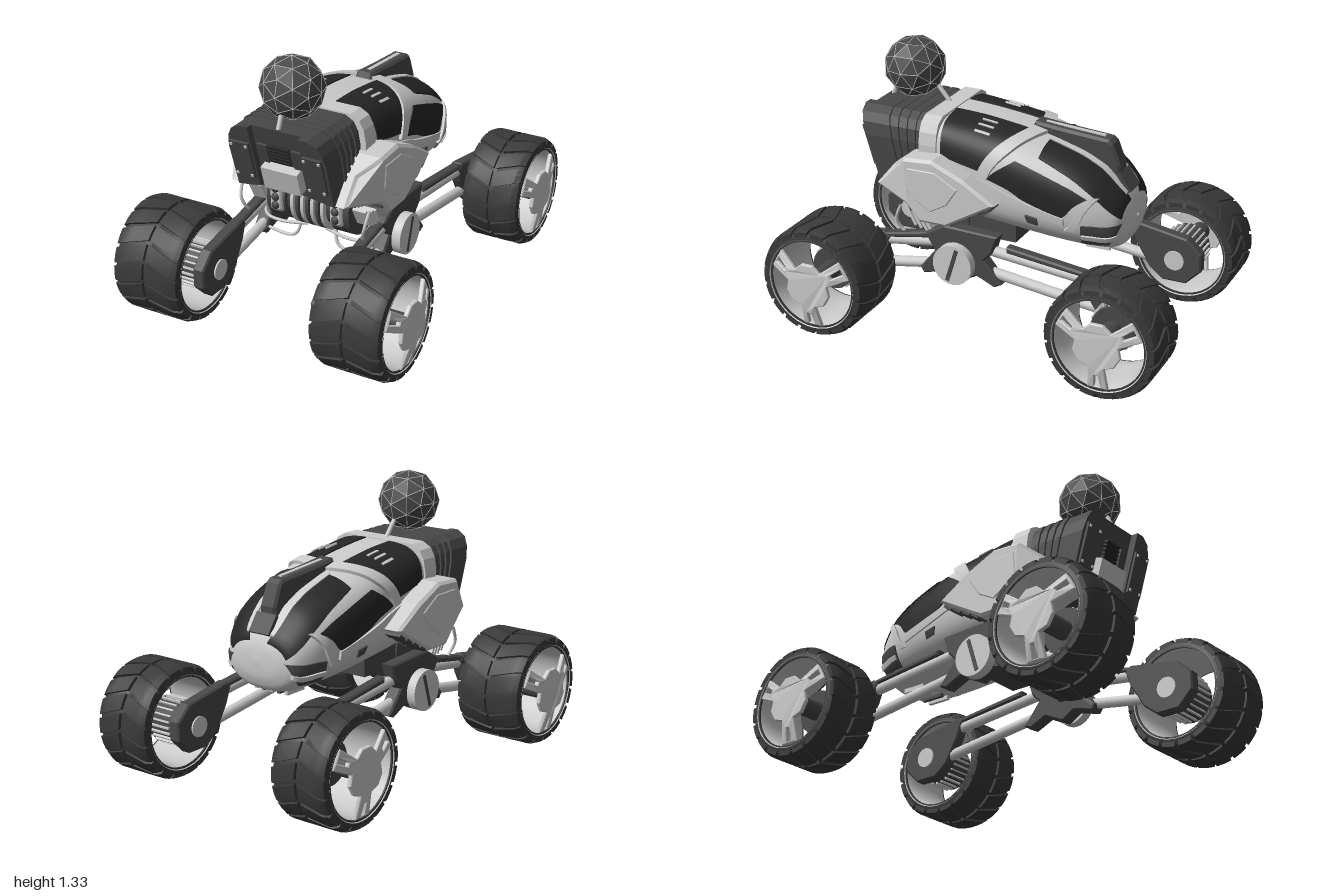
import * as THREE from 'three';
import { mergeGeometries, toCreasedNormals } from 'three/addons/utils/BufferGeometryUtils.js';

const mat = (c, o = {}) => new THREE.MeshStandardMaterial({ color: c, ...o });
const GREY = mat(0xcccccc, { side: THREE.DoubleSide });
const DARK = mat(0x484848, { side: THREE.DoubleSide });
const BLACK = mat(0x262626, { side: THREE.DoubleSide });
const TYRE = mat(0x3a3a3a);
const V = (x, y, z) => new THREE.Vector3(x, y, z);

function add(parent, name, geo, m, x = 0, y = 0, z = 0) {
  const mesh = new THREE.Mesh(geo, m);
  mesh.name = name;
  mesh.position.set(x, y, z);
  parent.add(mesh);
  return mesh;
}
const box = (w, h, d) => new THREE.BoxGeometry(w, h, d);
const disc = (r, w, n = 28) => new THREE.CylinderGeometry(r, r, w, n).rotateZ(-Math.PI / 2);
const shapeOf = pts => new THREE.Shape(pts.map(p => new THREE.Vector2(p[0], p[1])));

// round bar between two points
function rod(a, b, r, n = 12) {
  const d = b.clone().sub(a), g = new THREE.CylinderGeometry(r, r, d.length(), n);
  g.applyQuaternion(new THREE.Quaternion().setFromUnitVectors(V(0, 1, 0), d.normalize()));
  const m = a.clone().add(b).multiplyScalar(0.5);
  return g.translate(m.x, m.y, m.z);
}
// side profile [z, y] extruded across x, centred on x = 0
function slab(shape, width, bevel = 0.008) {
  const s = Array.isArray(shape) ? shapeOf(shape) : shape;
  return new THREE.ExtrudeGeometry(s, { depth: width - 2 * bevel, bevelThickness: bevel, bevelSize: bevel,
    bevelOffset: -bevel, bevelSegments: 1, curveSegments: 10 }).translate(0, 0, bevel - width / 2).rotateY(-Math.PI / 2);
}

// hull cross-sections: z, half width, bottom, top, squareness
const HULL = [[0.36, .265, .62, 1.015, 4], [0.28, .275, .57, 1.02, 3.8], [0.1, .285, .53, 1.01, 3.2], [-0.1, .29, .505, .985, 2.9],
  [-0.25, .285, .485, .95, 2.7], [-0.4, .272, .47, .905, 2.5], [-0.5, .25, .465, .855, 2.4], [-0.58, .21, .475, .775, 2.4],
  [-0.625, .14, .53, .705, 2.2], [-0.638, .005, .61, .63, 2]];
const curveA = new THREE.CatmullRomCurve3(HULL.map(s => V(s[0], s[1], s[4])));
const curveB = new THREE.CatmullRomCurve3(HULL.map(s => V(s[2], s[3], 0)));
function section(t) {
  const a = curveA.getPoint(t), b = curveB.getPoint(t);
  return { z: a.x, w: Math.max(a.y, 0.002), e: a.z, mid: (b.x + b.y) / 2, h: (b.y - b.x) / 2 };
}
function tOf(z) {
  let i = 0;
  while (i < HULL.length - 2 && z < HULL[i + 1][0]) i++;
  return (i + (HULL[i][0] - z) / (HULL[i][0] - HULL[i + 1][0])) / (HULL.length - 1);
}
function hullPoint(t, a, off) {
  const s = section(t), c = Math.cos(a), n = Math.sin(a);
  return V(Math.sign(c) * Math.pow(Math.abs(c), 2 / s.e) * (s.w + off), s.mid + Math.sign(n) * Math.pow(Math.abs(n), 2 / s.e) * (s.h + off), s.z);
}
// hull coordinates of a point given by height or by distance from the middle
function atY(z, y) {
  const t = tOf(z), s = section(t), k = Math.max(-1, Math.min(1, (y - s.mid) / s.h));
  return [t, Math.asin(Math.sign(k) * Math.pow(Math.abs(k), s.e / 2))];
}
function atX(z, x) {
  const t = tOf(z), s = section(t);
  return [t, Math.acos(Math.pow(Math.min(1, x / s.w), s.e / 2))];
}
function grid(n, m, fn) {
  const pos = [], idx = [];
  for (let i = 0; i <= n; i++) for (let j = 0; j <= m; j++) pos.push(...fn(i, j).toArray());
  for (let i = 0; i < n; i++) for (let j = 0; j < m; j++) {
    const a = i * (m + 1) + j, b = a + m + 1;
    idx.push(a, a + 1, b, b, a + 1, b + 1);
  }
  const g = new THREE.BufferGeometry();
  g.setAttribute('position', new THREE.Float32BufferAttribute(pos, 3));
  g.setIndex(idx);
  g.computeVertexNormals();
  return g;
}
// raised panel following the hull between four corners
function panel(s, [p, q, r, o], off) {
  const n = 12, mix = (k, u, v) => (p[k] * (1 - u) + q[k] * u) * (1 - v) + (o[k] * (1 - u) + r[k] * u) * v;
  const clamp = i => Math.max(0, Math.min(1, (i - 1) / n));
  return toCreasedNormals(grid(n + 2, n + 2, (i, j) => {
    const edge = i === 0 || j === 0 || i === n + 2 || j === n + 2;
    const v = hullPoint(mix(0, clamp(i), clamp(j)), mix(1, clamp(i), clamp(j)), edge ? -0.004 : off);
    v.x *= s;
    return v;
  }), 0.6);
}

// wheel with its outer side towards +x; h is the half width, dish the bulge of the spokes
function wheel(h, dish, sweep) {
  const g = new THREE.Group();
  const lathe = pts => new THREE.LatheGeometry(pts.map(p => new THREE.Vector2(p[0], p[1])), 48).rotateZ(-Math.PI / 2);
  const half = [[.257, .006], [.263, .016], [.264, h * .8], [.252, h * .95], [.235, h], [.216, h]];
  const back = half.map(p => [p[0], -p[1]]).reverse();
  add(g, 'tyre', toCreasedNormals(lathe([...back, ...half, back[0]]), 0.6), TYRE);
  const lugs = [], L = h - 0.01;
  for (let k = 0; k < 18; k++) for (const side of [-1, 1]) {
    const b = new THREE.BoxGeometry(L, 1, 1, 5, 1, 2), p = b.attributes.position;
    for (let i = 0; i < p.count; i++) {
      const x = p.getX(i) + side * (L / 2 + 0.008), f = Math.abs(x) / h;
      const r = (p.getY(i) > 0 ? 0.275 : 0.245) - 0.014 * Math.max(0, f - 0.8) / 0.2;
      const a = k * Math.PI / 9 + sweep * f * 0.2 + p.getZ(i) * 0.28;
      p.setXYZ(i, x, r * Math.cos(a), r * Math.sin(a));
    }
    lugs.push(b);
  }
  add(g, 'treadLugs', toCreasedNormals(mergeGeometries(lugs), 0.5), TYRE);
  add(g, 'rim', lathe([[.228, -h - .004], [.214, -h + .01], [.208, -h * .5], [.208, h * .5], [.214, h - .01], [.228, h + .004]]), GREY);
  // three dished spokes, each with a slot
  const star = [], arm = [[.118, -.8], [.105, -.36], [.216, -.23], [.216, .23], [.105, .36], [.118, .8]];
  const spokes = new THREE.Shape(), polar = (r, a) => new THREE.Vector2(r * Math.cos(a), r * Math.sin(a));
  for (let k = 0; k < 3; k++) {
    const a = -Math.PI / 2 + k * Math.PI * 2 / 3;
    arm.forEach(p => star.push(polar(p[0], a + p[1])));
    spokes.holes.push(new THREE.Path([[.14, -.06], [.2, -.07], [.2, .07], [.14, .06]].map(p => polar(p[0], a + p[1]))));
  }
  spokes.setFromPoints(star);
  const sg = slab(spokes, 0.022, 0.004), sp = sg.attributes.position;
  for (let i = 0; i < sp.count; i++) {
    const r = Math.hypot(sp.getY(i), sp.getZ(i));
    sp.setX(i, sp.getX(i) + h - 0.008 + dish * Math.min(1, (0.22 - r) / 0.1));
  }
  sg.computeVertexNormals();
  add(g, 'spokes', sg, GREY);
  add(g, 'hubCap', disc(.07, .02, 6), GREY, h + dish - .012);
  // finned motor on the inner side
  add(g, 'axle', disc(.045, 2 * h, 16), DARK, 0.005);
  add(g, 'motor', disc(.105, h, 32), DARK, -h * 0.62);
  for (let k = 0; k < 24; k++) {
    const a = k * Math.PI / 12, f = add(g, 'motorFin', box(h * .8, .016, .008), GREY, -h * .66, .108 * Math.cos(a), .108 * Math.sin(a));
    f.rotation.x = a;
  }
  return g;
}

export function createModel() {
  const model = new THREE.Group();
  // wheels, arms and pivots on both sides
  for (const s of [-1, 1]) {
    const side = s > 0 ? 'left' : 'right', X = 0.312 * s;
    for (const f of [1, -1]) {
      const w = f > 0 ? wheel(0.172, 0.035, s) : wheel(0.146, 0.024, -s);
      w.name = side + (f > 0 ? 'FrontWheel' : 'BackWheel');
      w.position.set(s * 0.521, 0.275, f * 0.725);
      if (s < 0) w.rotation.y = Math.PI;
      model.add(w);
      const Z = z => f > 0 ? z : 0.16 - z; // arms reach from the pivot to each wheel
      const end = f > 0 ? 0.725 : 0.885;
      const pod = [[.135, -.04], [.135, .05], [.06, .12], [-.2, .165], [-.23, .14], [-.2, .06], [-.13, -.06], [-.06, -.115], [.06, -.115]];
      add(model, 'armPod', slab(pod.map(p => [Z(end + p[0]), .275 + p[1]]), 0.06), DARK, X);
      add(model, 'upperArm', rod(V(X, .445, Z(.18)), V(X, .385, Z(end - .12)), .026), GREY);
      add(model, 'lowerArm', rod(V(X, .335, Z(.18)), V(X, .25, Z(end - .05)), .026), GREY);
      add(model, 'armSleeve', slab([[.28, .485], [end - .2, .435], [end - .2, .41], [.28, .455]].map(p => [Z(p[0]), p[1]]), .055), DARK, X);
      add(model, 'armBoss', disc(.05, .075, 20), GREY, X, .275, Z(end));
    }
    add(model, 'pivotBracket', slab([[.2, .54], [-.08, .53], [-.05, .44], [-.01, .4], [-.1, .29], [-.06, .27], [.03, .31], [.13, .26],
      [.2, .3], [.31, .27], [.33, .3], [.25, .4], [.3, .48], [.27, .5]], .07), DARK, s * .315);
    add(model, 'pivotStub', rod(V(s * .33, .37, .135), V(s * .2, .46, .135), .04), DARK);
    add(model, 'pivotDisc', disc(.1, .05, 32), GREY, s * .37, .365, .135);
    add(model, 'pivotSlot', box(.006, .17, .02), DARK, s * .395, .365, .135).rotation.x = -0.3;
    // shoulder pod, drawn in towards its front
    const outline = [[.39, .86], [.24, .87], [.08, .8], [-.08, .7], [.17, .55], [.31, .55], [.38, .63], [.58, .67], [.48, .79]];
    const pg = slab(outline, .17, .014), pp = pg.attributes.position;
    for (let i = 0; i < pp.count; i++) if (pp.getX(i) * s > 0 && pp.getZ(i) > .42) pp.setX(i, pp.getX(i) - s * .08);
    pg.computeVertexNormals();
    add(model, 'shoulderPod', pg, GREY, s * .302);
    add(model, 'shoulderPlate', slab([[.37, .82], [.22, .82], [.1, .75], [.16, .66], [.25, .61], [.33, .66], [.38, .7]], .014), GREY, s * .384);
    add(model, 'shoulderStep', box(.1, .05, .05), DARK, s * .32, .62, .34);
    for (let k = 0; k < 4; k++) {
      add(model, 'frontLouvre', box(.07, .1, .014), GREY, s * .28, .54 - k * .01, .39 - k * .03).rotation.x = .5;
      add(model, 'backLouvre', box(.09, .012, .05), DARK, s * .33, .57 + k * .03, .13 - k * .055).rotation.x = .6;
    }
    // glazing, frames and vents
    const P = (name, m, off, ...c) => add(model, name, panel(s, c, off), m);
    P('frontWindow', BLACK, .006, atX(.26, .07), atX(-.12, .07), atY(.04, .82), atY(.24, .86));
    P('sideWindow', BLACK, .006, atY(-.13, .89), atY(-.48, .755), atY(-.37, .66), atY(0, .79));
    P('backCanopy', BLACK, .007, atX(-.23, .085), atX(-.62, .05), atY(-.615, .65), atY(-.23, .905));
    P('diagonalFrame', GREY, .016, atX(-.13, .03), atX(-.2, .03), atY(.0, .785), atY(.05, .795));
    P('sideRail', GREY, .012, atY(.05, .785), atY(-.38, .66), atY(-.38, .62), atY(.05, .74));
    P('cornerFrame', GREY, .014, atY(-.49, .755), atY(-.53, .755), atY(-.43, .6), atY(-.38, .6));
    P('backVent', DARK, .008, atY(-.46, .63), atY(-.62, .63), atY(-.57, .53), atY(-.45, .53));
    P('backVentBar', GREY, .016, atY(-.46, .585), atY(-.6, .585), atY(-.6, .565), atY(-.46, .565));
    P('sideSlot', DARK, .008, atY(-.19, .645), atY(-.25, .635), atY(-.25, .6), atY(-.2, .61));
    P('canopyStrip', GREY, .014, atX(-.23, .07), atX(-.6, .055), atX(-.6, .075), atX(-.23, .095));
    for (let k = 0; k < 3; k++) {
      const x = .115 + k * .042;
      P('windowSlot', GREY, .012, atX(.1, x), atX(.02, x), atX(.02, x + .012), atX(.1, x + .012));
    }
  }
  // hull and canopy fin
  add(model, 'hull', grid(60, 64, (i, j) => hullPoint(i / 60, -j / 64 * Math.PI * 2, 0)), GREY);
  add(model, 'canopyFin', slab([[-.1, .95], [-.13, 1.01], [-.28, .995], [-.5, .978], [-.52, .96], [-.56, .86], [-.56, .76], [-.4, .84]], .09, .012), DARK);
  add(model, 'finStrip', box(.02, .012, .3), GREY, 0, .991, -.32).rotation.x = -.07;
  add(model, 'noseCap', box(.115, .02, .1), DARK, 0, .785, -.585).rotation.x = -.95;
  // engine housing: leaning front with two forward cheeks
  const half = [[.25, .67], [.254, .89], [.243, .95], [.22, .993], [.175, 1.018]];
  const ring = (dx, dy) => {
    const r = half.map(([x, y]) => [x + dx, y < .7 ? y + dy : y + dx * .25]);
    return [...r, ...r.map(([x, y]) => [-x, y]).reverse()];
  };
  const lean = (pts, z0, z1) => {
    const g = new THREE.ExtrudeGeometry(shapeOf(pts), { depth: z1 - z0, bevelEnabled: false }).translate(0, 0, z0), p = g.attributes.position;
    for (let i = 0; i < p.count; i++) {
      const k = Math.max(0, Math.min(1, (p.getZ(i) - .36) / .25));
      p.setZ(i, p.getZ(i) + (p.getY(i) - 1.02) * .31 * k);
    }
    g.computeVertexNormals();
    return g;
  };
  add(model, 'engineHousing', lean(ring(0, 0), .3, .665), DARK);
  add(model, 'housingBand', lean(ring(.028, -.06), .27, .36), GREY);
  for (let k = 0; k < 4; k++) add(model, 'housingRib', lean(ring(.009, 0), .395 + k * .05, .42 + k * .05), DARK);
  for (const s of [-1, 1]) {
    const cheek = [[.13, .69], ...half, [.13, 1.018]].map(([x, y]) => [x * s, y]);
    add(model, 'housingCheek', lean(cheek, .5, .7), DARK);
  }
  const face = new THREE.Group();
  face.name = 'engineFace';
  face.position.set(0, .845, .614);
  face.rotation.x = .3;
  model.add(face);
  add(face, 'faceBox', box(.19, .12, .07), GREY, 0, -.08, .01);
  for (let k = 0; k < 5; k++) add(face, 'faceVent', box(.1, .01, .02), BLACK, 0, .005 + k * .019, .005);
  for (const s of [-1, 1]) {
    add(face, 'facePanel', box(.1, .2, .012), DARK, s * .188, 0, .038);
    add(face, 'innerPanel', box(.05, .1, .012), DARK, s * .09, .035, .004);
    for (const y of [-.085, .085]) for (const x of [.15, .226]) add(face, 'bolt', box(.012, .012, .008), GREY, s * x, y, .046);
  }
  // underside: chassis, drum, side units and pipes
  add(model, 'chassis', box(.42, .13, .36), DARK, 0, .52, .07);
  add(model, 'drum', disc(.12, .44), DARK, 0, .53, .27);
  for (let k = -3; k <= 3; k++) add(model, 'drumRing', disc(.147, .016), k % 2 ? GREY : DARK, k * .027, .53, .27);
  add(model, 'engineBlock', box(.48, .14, .18), DARK, 0, .63, .25);
  add(model, 'engineRoof', box(.46, .03, .24), DARK, 0, .69, .42);
  for (const s of [-1, 1]) {
    add(model, 'sideUnit', disc(.14, .1), DARK, s * .17, .53, .27);
    add(model, 'valveBlock', slab([[.43, .49], [.43, .65], [.41, .68], [.35, .68], [.35, .47], [.41, .47]], .06), GREY, s * .16);
    for (let k = 0; k < 4; k++) add(model, 'valve', new THREE.SphereGeometry(.022, 10, 8), DARK, s * .16, .508 + k * .043, .425);
    const bend = pts => new THREE.TubeGeometry(new THREE.CatmullRomCurve3(pts), 24, .008, 8);
    add(model, 'lowPipe', bend([V(s * .3, .305, .3), V(s * .15, .305, .32), V(s * .11, .33, .32), V(s * .09, .42, .3)]), GREY);
    add(model, 'highPipe', bend([V(s * .3, .44, .3), V(s * .27, .39, .33), V(s * .18, .38, .34), V(s * .05, .39, .32)]), GREY);
    add(model, 'outerPipe', bend([V(s * .34, .6, .43), V(s * .33, .52, .46), V(s * .31, .46, .44), V(s * .31, .43, .4)]), GREY);
  }
  for (let k = -2; k <= 2; k++) add(model, 'tailProng', box(.018, .03, .12), k % 2 ? DARK : GREY, k * .045, .468, -.48);
  // faceted dome on struts
  const R = .15, ball = new THREE.IcosahedronGeometry(R, 1);
  add(model, 'dome', ball, mat(0x484848, { flatShading: true }), 0, 1.175, .52);
  const ep = new THREE.EdgesGeometry(ball, 1).attributes.position, wires = [];
  for (let i = 0; i < ep.count; i += 2)
    wires.push(rod(new THREE.Vector3().fromBufferAttribute(ep, i), new THREE.Vector3().fromBufferAttribute(ep, i + 1), .002, 4));
  add(model, 'domeWires', mergeGeometries(wires), GREY, 0, 1.175, .52);
  add(model, 'frontStrut', rod(V(0, 1.0, .65), V(0, 1.12, .6), .011), GREY);
  add(model, 'backStrut', rod(V(0, 1.0, .32), V(0, 1.12, .42), .011), GREY);
  return model;
}
